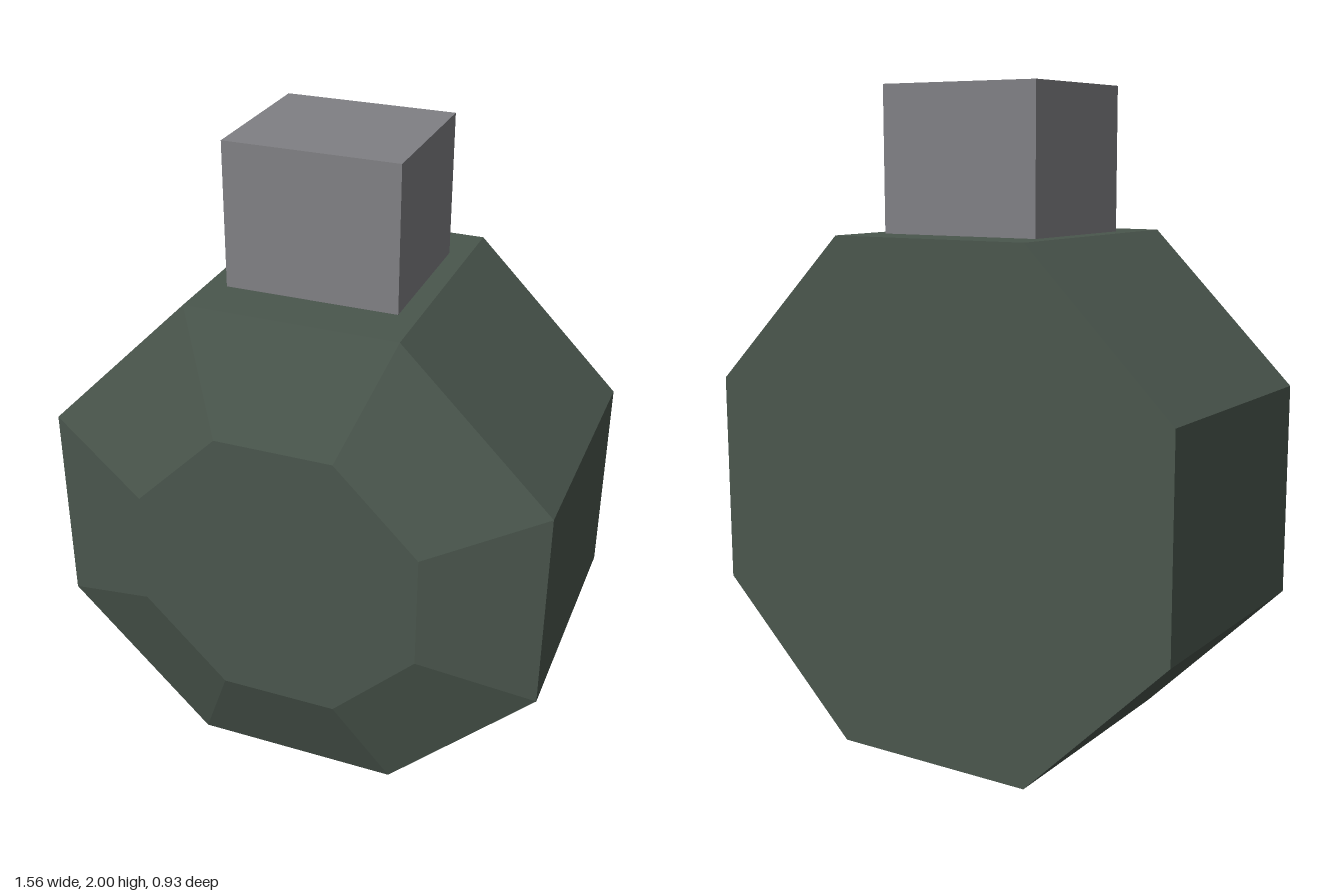
import * as THREE from 'three';

export function createModel() {
  const group = new THREE.Group();

  const green = new THREE.MeshStandardMaterial({ color: 0x4a564d, flatShading: true });
  green.name = 'dark green';
  const grey = new THREE.MeshStandardMaterial({ color: 0x808084, flatShading: true });
  grey.name = 'grey';

  // Octagonal body: flat back, straight sides, bevelled front with a flat face
  const apothem = 0.782;
  const corner = 1 / Math.cos(Math.PI / 8); // apothem to corner radius
  const profile = [
    [0, -0.463],
    [apothem, -0.463],
    [apothem, 0.331],
    [0.44, 0.463],
    [0, 0.463],
  ].map(([r, z]) => new THREE.Vector2(r * corner, z));
  const bodyGeometry = new THREE.LatheGeometry(profile, 8, Math.PI / 8);
  bodyGeometry.rotateX(Math.PI / 2);
  const body = new THREE.Mesh(bodyGeometry, green);
  body.name = 'body';
  body.position.y = apothem;
  group.add(body);

  // Square neck block standing on the top facet
  const bottom = apothem * 2;
  const neck = new THREE.Mesh(new THREE.BoxGeometry(0.526, 2 - bottom, 0.474), grey);
  neck.name = 'neck';
  neck.position.set(0, (2 + bottom) / 2, -0.067);
  group.add(neck);

  return group;
}
